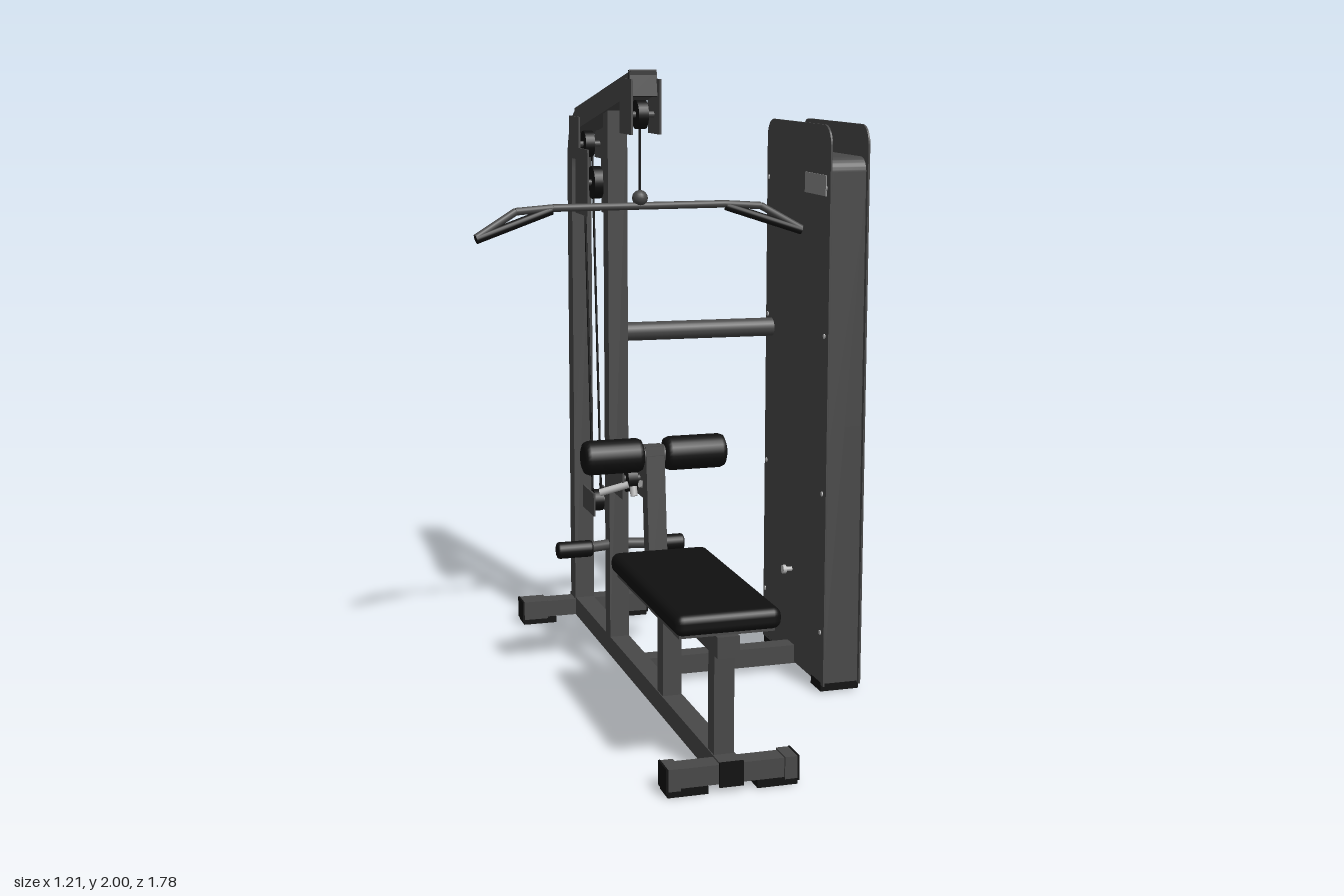
import * as THREE from 'three';
import { toCreasedNormals } from 'three/addons/utils/BufferGeometryUtils.js';
import { RoundedBoxGeometry } from 'three/addons/geometries/RoundedBoxGeometry.js';

const V = (x, y, z) => new THREE.Vector3(x, y, z);
const CX = -0.07; // centre plane of the main frame

export function createModel() {
  const root = new THREE.Group();
  const material = (name, color) => {
    const m = new THREE.MeshStandardMaterial({ color });
    m.name = name;
    return m;
  };
  const frame = material('frame grey', 0x484848);
  const black = material('black rubber', 0x101010);
  const steel = material('bright steel', 0xb8b8b8);
  const label = material('label grey', 0x8a8a8a);

  const add = (name, geo, mat) => {
    const m = new THREE.Mesh(geo, mat);
    m.name = name;
    root.add(m);
    return m;
  };
  // Box given by its extents along each axis
  const box = (name, mat, x0, x1, y0, y1, z0, z1, r = 0) => {
    const s = [x1 - x0, y1 - y0, z1 - z0];
    const geo = r ? new RoundedBoxGeometry(...s, 3, r) : new THREE.BoxGeometry(...s);
    return add(name, geo.translate((x0 + x1) / 2, (y0 + y1) / 2, (z0 + z1) / 2), mat);
  };
  // Round rod between two points
  const rod = (name, mat, a, b, r, sides = 16) => {
    const d = b.clone().sub(a);
    const m = add(name, new THREE.CylinderGeometry(r, r, d.length(), sides), mat);
    m.position.copy(a).add(b).multiplyScalar(0.5);
    m.quaternion.setFromUnitVectors(V(0, 1, 0), d.normalize());
    return m;
  };
  // Side profile drawn in (z, y), extruded across x
  const profile = (name, mat, shape, x0, x1) => {
    const geo = new THREE.ExtrudeGeometry(shape, { depth: x1 - x0, bevelEnabled: false, curveSegments: 10 });
    return add(name, toCreasedNormals(geo.rotateY(-Math.PI / 2).translate(x1, 0, 0), 0.6), mat);
  };
  const topRounded = (z0, z1, y0, y1, r) => {
    const s = new THREE.Shape();
    s.moveTo(z0, y0);
    s.lineTo(z1, y0);
    s.lineTo(z1, y1 - r);
    s.absarc(z1 - r, y1 - r, r, 0, Math.PI / 2);
    s.lineTo(z0 + r, y1);
    s.absarc(z0 + r, y1 - r, r, Math.PI / 2, Math.PI);
    s.lineTo(z0, y0);
    return s;
  };
  // Padded roller along x with rounded rims
  const roller = (name, x0, x1, y, z, r, e) => {
    const h = x1 - x0;
    const pts = [[0, 0], [r - e, 0], [r - e * 0.3, e * 0.3], [r, e], [r, h - e], [r - e * 0.3, h - e * 0.3], [r - e, h], [0, h]];
    const geo = new THREE.LatheGeometry(pts.map(p => new THREE.Vector2(...p)), 24);
    const m = add(name, geo.rotateZ(-Math.PI / 2), black);
    m.position.set(x0, y, z);
  };

  // Base rail, cross rail and feet
  box('baseRail', frame, -0.103, -0.037, 0.02, 0.085, -0.88, 0.88);
  box('baseCrossRail', frame, -0.04, 0.48, 0.02, 0.083, -0.14, -0.075);
  for (const [name, x0, x1, zc, s] of [['frontFoot', -0.26, 0.13, 0.845, 1], ['rearFoot', -0.3, 0.165, -0.852, -1]]) {
    box(name, frame, x0 + 0.005, x1 - 0.005, 0.022, 0.08, zc - 0.032, zc + 0.032);
    box(name + 'CentreCap', black, -0.106, -0.034, 0.015, 0.088, zc + s * 0.038 - 0.004, zc + s * 0.038 + 0.004);
    const w = s > 0 ? 0.04 : 0.09;
    for (const [a, b, e] of [[x0, x0 + w, x0], [x1 - w, x1, x1]]) {
      box(name + 'Sleeve', frame, a, b, 0.018, 0.084, zc - 0.04, zc + 0.04);
      box(name + 'EndCap', black, e - 0.003, e + 0.003, 0.012, 0.085, zc - 0.041, zc + 0.041);
    }
    for (const a of [x0 + 0.002, x1 - 0.122]) box(name + 'Pad', black, a, a + 0.12, 0, 0.022, zc - 0.038, zc + 0.038);
  }

  // Main post and rear arch running into the sloping top beam
  box('mainPost', frame, -0.103, -0.037, 0.08, 1.87, -0.39, -0.33);
  const arch = new THREE.Shape();
  arch.moveTo(-0.885, 0.08);
  arch.lineTo(-0.82, 0.08);
  arch.lineTo(-0.82, 1.64);
  arch.quadraticCurveTo(-0.82, 1.76, -0.735, 1.783);
  arch.lineTo(-0.72, 1.855);
  arch.lineTo(-0.76, 1.852);
  arch.bezierCurveTo(-0.83, 1.825, -0.885, 1.76, -0.885, 1.65);
  arch.lineTo(-0.885, 0.08);
  profile('rearArch', frame, arch, -0.105, -0.035);
  const beam = new THREE.Shape();
  beam.moveTo(-0.74, 1.782);
  beam.lineTo(-0.035, 1.92);
  beam.lineTo(-0.02, 1.995);
  beam.lineTo(-0.745, 1.857);
  beam.lineTo(-0.74, 1.782);
  profile('topBeam', frame, beam, -0.111, -0.027);
  const cap = box('topBeamCap', black, -0.113, -0.025, -0.041, 0.041, -0.006, 0.006);
  cap.position.set(0, 1.957, -0.024);
  cap.rotation.x = -0.19;

  // Pulley brackets: paired plates with a wheel between them
  const pulley = (name, y0, y1, z0, z1, yc, zc, r, half = 0.046) => {
    for (const s of [-1, 1]) {
      const x = CX + s * half;
      box(name + 'Plate', frame, x - 0.003, x + 0.003, y0, y1, z0, z1);
    }
    rod(name + 'Wheel', black, V(CX - 0.016, yc, zc), V(CX + 0.016, yc, zc), r, 24);
    rod(name + 'Axle', frame, V(CX - half, yc, zc), V(CX + half, yc, zc), 0.01);
  };
  pulley('frontPulley', 1.8, 1.97, -0.12, 0.015, 1.86, -0.055, 0.045);
  pulley('rearPulley', 1.685, 1.83, -0.8, -0.66, 1.735, -0.73, 0.045);
  pulley('middlePulley', 1.5, 1.725, -0.71, -0.54, 1.61, -0.62, 0.055);
  pulley('lowPulley', 0.455, 0.535, -0.703, -0.547, 0.495, -0.625, 0.038, 0.03);
  pulley('rowPulley', 0.61, 0.735, -0.34, -0.14, 0.67, -0.19, 0.045, 0.036);

  // Cables
  rod('frontCable', black, V(CX, 1.6, -0.06), V(CX, 1.86, -0.06), 0.004, 8);
  for (const x of [-0.085, -0.055]) rod('rearCable', black, V(x, 0.5, -0.63), V(x, 1.7, -0.725), 0.004, 8);

  // Pull-down bar with two looped grips
  const bar = [V(CX - 0.28, 1.575, -0.06), V(CX + 0.28, 1.575, -0.06)];
  rod('pullBar', frame, bar[0], bar[1], 0.012);
  const ball = add('barSwivel', new THREE.SphereGeometry(0.025, 16, 12), frame);
  ball.position.set(CX, 1.6, -0.06);
  for (const s of [-1, 1]) {
    const p = [V(CX + s * 0.28, 1.575, -0.06), V(CX + s * 0.4, 1.567, -0.055), V(CX + s * 0.53, 1.492, -0.028)];
    rod('barLoop', frame, p[0], p[1], 0.012);
    rod('barLoop', frame, p[1], p[2], 0.012);
    rod('barGrip', black, V(CX + s * 0.285, 1.568, -0.06), V(CX + s * 0.53, 1.487, -0.028), 0.014);
  }

  // Seat and its supports
  box('seatCushion', black, -0.225, 0.09, 0.452, 0.515, 0.135, 0.855, 0.025);
  box('seatPlate', frame, -0.21, 0.075, 0.443, 0.455, 0.17, 0.83);
  box('seatRail', frame, -0.103, -0.037, 0.382, 0.444, 0.1, 0.85);
  for (const [z0, z1] of [[0.757, 0.813], [0.238, 0.296]]) box('seatPost', frame, -0.1, -0.04, 0.08, 0.385, z0, z1);

  // Thigh pads on a leaning arm
  const arm = new THREE.Shape();
  arm.moveTo(0.1, 0.385);
  arm.lineTo(0.155, 0.385);
  arm.lineTo(0.11, 0.835);
  arm.lineTo(0.055, 0.835);
  arm.lineTo(0.1, 0.385);
  profile('thighPadArm', frame, arm, -0.1, -0.04);
  rod('thighPadAxle', frame, V(-0.27, 0.807, 0.083), V(0.14, 0.807, 0.083), 0.03);
  roller('leftThighPad', -0.035, 0.165, 0.807, 0.083, 0.054, 0.018);
  roller('rightThighPad', -0.297, -0.105, 0.807, 0.083, 0.054, 0.018);

  // Foot rollers and row handle
  for (const s of [-1, 1]) {
    rod('footBar', frame, V(CX, 0.405, -0.36), V(CX + s * 0.12, 0.405, -0.328), 0.018);
    rod('rowHandle', steel, V(CX + s * 0.02, 0.66, -0.14), V(CX + s * 0.108, 0.632, -0.168), 0.012);
  }
  roller('leftFootRoller', 0.03, 0.155, 0.403, -0.328, 0.028, 0.008);
  roller('rightFootRoller', -0.287, -0.165, 0.403, -0.328, 0.028, 0.008);
  rod('rowCableLink', steel, V(CX, 0.65, -0.15), V(CX, 0.62, -0.14), 0.012);

  // Weight tower: core housing between two tall side panels
  rod('towerBrace', frame, V(-0.05, 1.13, -0.365), V(0.475, 1.13, -0.335), 0.031, 24);
  profile('towerHousing', frame, topRounded(-0.375, 0.18, 0.03, 1.73, 0.045), 0.474, 0.596);
  for (const [x, out] of [[0.473, -1], [0.597, 1]]) {
    profile('towerPanel', frame, topRounded(-0.39, 0.195, 0.025, 1.83, 0.06), x - 0.003, x + 0.003);
    for (const y of [0.2, 0.66, 1.17, 1.635])
      for (const z of [-0.37, 0.163]) rod('panelBolt', steel, V(x, y, z), V(x + out * 0.006, y, z), 0.008, 10);
  }
  box('labelPlate', label, 0.466, 0.471, 1.61, 1.675, -0.02, 0.165);
  for (const [z0, z1] of [[0.085, 0.175], [-0.38, -0.29]]) box('towerFoot', black, 0.47, 0.6, 0.003, 0.033, z0, z1);
  rod('selectorPin', steel, V(0.445, 0.34, -0.11), V(0.475, 0.34, -0.11), 0.008, 12);
  rod('selectorKnob', steel, V(0.437, 0.34, -0.11), V(0.448, 0.34, -0.11), 0.015);

  return root;
}
